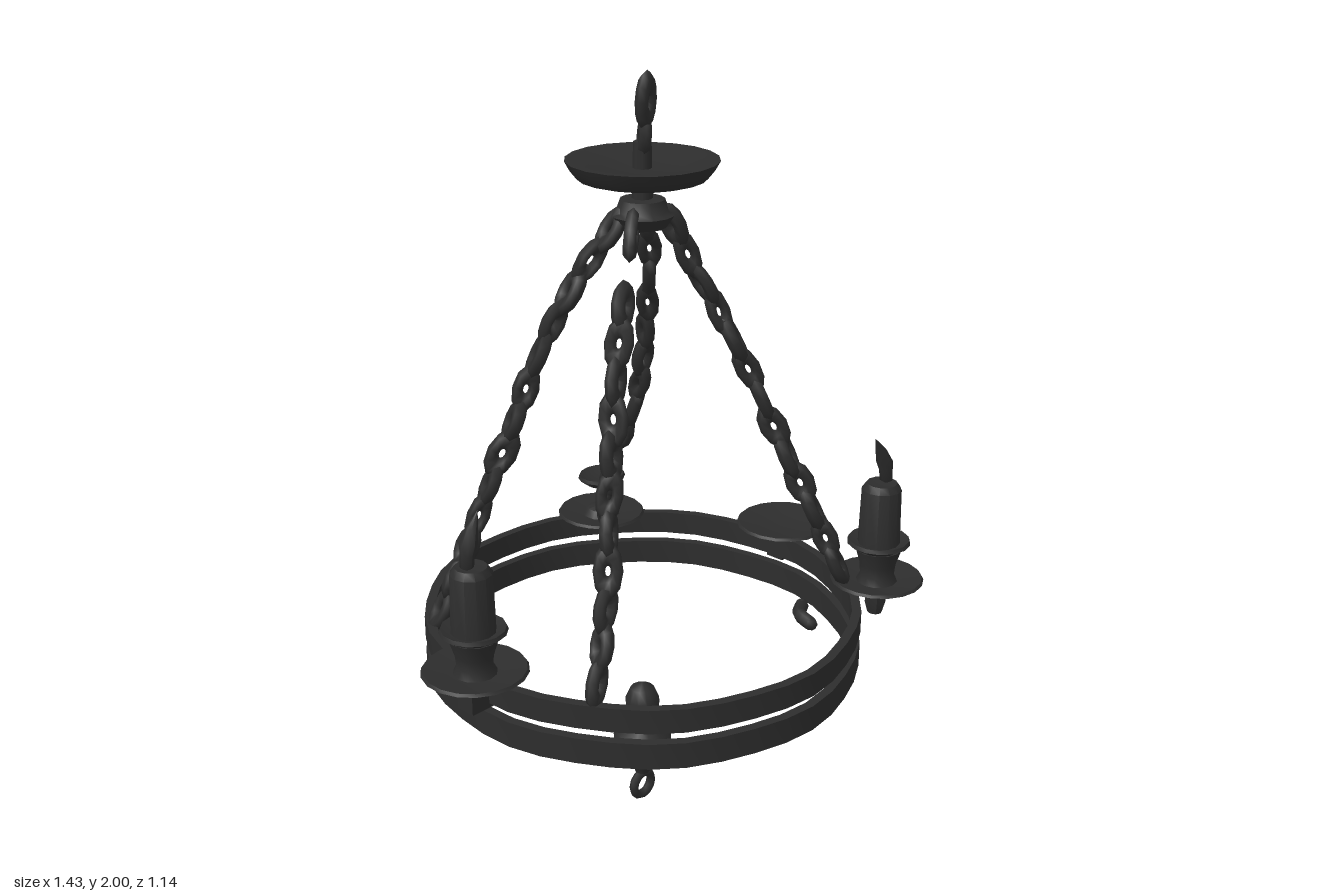
import * as THREE from 'three';
import { toCreasedNormals } from 'three/addons/utils/BufferGeometryUtils.js';

const iron = new THREE.MeshStandardMaterial({ color: 0x2d2d2d });
iron.name = 'dark iron';

export function createModel() {
  const model = new THREE.Group();
  model.name = 'chandelier';

  // Small seeded generator for the hand-forged irregularity
  let seed = 7;
  const rand = () => (seed = (seed * 16807) % 2147483647) / 2147483647;

  function add(parent, name, geometry, x = 0, y = 0, z = 0) {
    const mesh = new THREE.Mesh(geometry, iron);
    mesh.name = name;
    mesh.position.set(x, y, z);
    parent.add(mesh);
    return mesh;
  }
  // Profile of [radius, height] pairs, listed from the bottom up the outside
  function lathe(profile, segments = 14) {
    const points = profile.map(([r, y]) => new THREE.Vector2(r, y));
    return toCreasedNormals(new THREE.LatheGeometry(points, segments), 0.75);
  }

  // Two flat hoops, hammered slightly out of round
  for (const [name, y0, y1] of [['lowerHoop', 0.46, 0.528], ['upperHoop', 0.557, 0.62]]) {
    const hoop = new THREE.LatheGeometry([[0.548, y0], [0.572, y0], [0.572, y1], [0.548, y1], [0.548, y0]]
      .map(([r, y]) => new THREE.Vector2(r, y)), 40);
    const pos = hoop.attributes.position;
    for (let i = 0; i < pos.count; i++) {
      const a = Math.atan2(pos.getZ(i), pos.getX(i));
      const k = 1 + 0.006 * Math.sin(a * 9) - 0.008 * Math.cos(a) ** 2;
      pos.setX(i, pos.getX(i) * k);
      pos.setZ(i, pos.getZ(i) * k);
    }
    add(model, name, toCreasedNormals(hoop, 0.75));
  }

  // Ceiling canopy, stem and chain collar
  add(model, 'canopy', lathe([[0, 1.735], [0.13, 1.737], [0.158, 1.745], [0.174, 1.765], [0.187, 1.788],
    [0.168, 1.788], [0.1, 1.772], [0, 1.765]], 20));
  add(model, 'stem', new THREE.CylinderGeometry(0.022, 0.026, 0.16, 8), 0, 1.75, 0);
  add(model, 'collar', lathe([[0, 1.63], [0.06, 1.625], [0.08, 1.655], [0.065, 1.665], [0.055, 1.692], [0, 1.695]]));

  // Hanging links above the canopy
  const topLink = add(model, 'topLink', new THREE.TorusGeometry(0.02, 0.015, 6, 12), -0.003, 1.928, 0.014);
  topLink.scale.set(1, 2.05, 1.1);
  topLink.rotation.set(0.06, 0.25, 0);
  const lowLink = add(model, 'lowerTopLink', new THREE.TorusGeometry(0.014, 0.014, 6, 12), 0, 1.84, 0.006);
  lowLink.scale.set(1.1, 1.7, 1.2);
  lowLink.rotation.set(0.1, 0.9, 0);

  // Four chains of alternating, uneven links; skipped links leave a break
  const up = new THREE.Vector3(0, 1, 0);
  function chain(name, points, skip = []) {
    const group = new THREE.Group();
    group.name = name;
    const curve = new THREE.CatmullRomCurve3(points.map((p) => new THREE.Vector3(...p)));
    const count = Math.round(curve.getLength() / 0.088);
    for (let i = 0; i < count; i++) {
      if (skip.includes(i)) continue;
      const t = (i + 0.5) / count;
      const p = curve.getPointAt(t);
      const tangent = curve.getTangentAt(t);
      const link = add(group, 'link', new THREE.TorusGeometry(0.021, 0.0145, 6, 10), p.x, p.y, p.z);
      link.scale.set(0.85 + rand() * 0.25, 1.75 + rand() * 0.25, 1.1 + rand() * 0.2);
      link.quaternion.setFromUnitVectors(up, tangent);
      link.rotateY((i % 2) * Math.PI / 2 + 0.4 + rand() * 0.7);
      link.rotateZ((rand() - 0.5) * 0.35);
    }
    model.add(group);
  }
  for (const [name, s, skip] of [['frontLeftSideChain', 1, [1]], ['backLeftSideChain', -1, []]]) {
    chain(name, [[-0.05, 1.66, 0.02 * s], [-0.13, 1.53, 0.07 * s], [-0.21, 1.37, 0.12 * s],
      [-0.3, 1.1, 0.18 * s], [-0.36, 0.9, 0.23 * s], [-0.41, 0.75, 0.26 * s], [-0.465, 0.62, 0.285 * s]], skip);
  }
  chain('frontChain', [[0.05, 1.66, 0.03], [0.12, 1.5, 0.07], [0.2, 1.3, 0.14], [0.28, 1.05, 0.22],
    [0.34, 0.84, 0.3], [0.39, 0.66, 0.36]]);
  chain('backChain', [[0.05, 1.66, -0.03], [0.11, 1.5, -0.08], [0.17, 1.3, -0.15], [0.215, 1.05, -0.23],
    [0.225, 0.85, -0.33], [0.24, 0.65, -0.37]]);

  // Candle holders: dish, drip pan and candle in varying completeness
  const dish = lathe([[0, 0.612], [0.045, 0.615], [0.1, 0.634], [0.132, 0.645], [0.127, 0.652],
    [0.07, 0.642], [0, 0.636]], 18);
  const pan = lathe([[0, 0.728], [0.05, 0.73], [0.084, 0.752], [0.08, 0.762], [0.05, 0.75], [0, 0.75]], 14);
  const cup = lathe([[0, 0.63], [0.06, 0.63], [0.045, 0.66], [0.048, 0.69], [0.062, 0.735], [0, 0.74]], 12);
  const candle = lathe([[0, 0.73], [0.056, 0.73], [0.052, 0.905], [0.04, 0.922], [0, 0.915]], 12);
  const peg = lathe([[0, 0.54], [0.02, 0.545], [0.028, 0.575], [0.028, 0.62], [0, 0.625]], 8);
  const bracket = new THREE.BoxGeometry(0.07, 0.075, 0.055);

  // Flame: a tapered lathe whose vertices lean further with height
  function flame(lean) {
    const g = new THREE.LatheGeometry([[0, 0], [0.017, 0.01], [0.018, 0.04], [0.022, 0.065], [0.014, 0.105],
      [0, 0.143]].map(([r, y]) => new THREE.Vector2(r, y)), 8);
    const pos = g.attributes.position;
    for (let i = 0; i < pos.count; i++) {
      const k = pos.getY(i) / 0.143;
      pos.setX(i, pos.getX(i) + lean * k * k);
    }
    g.computeVertexNormals();
    return g;
  }

  function holder(name, x, z, { lean = null, size = 1 } = {}) {
    const group = new THREE.Group();
    group.name = name;
    group.position.set(x, 0, z);
    add(group, 'dish', dish).scale.set(size, 1, size);
    if (lean !== null) {
      add(group, 'pan', pan);
      add(group, 'cup', cup);
      add(group, 'candle', candle);
      add(group, 'flame', flame(lean), -lean * 0.3, 0.915, 0);
    }
    model.add(group);
    return group;
  }
  const right = holder('rightCandle', -0.583, 0, { lean: 0.04 });
  const front = holder('frontCandle', 0.48, 0.405, { lean: -0.06, size: 0.94 });
  const empty = holder('emptyDish', 0.583, 0);
  add(front, 'peg', peg);
  for (const [group, s] of [[right, -1], [empty, 1]]) add(group, 'bracket', bracket, s * 0.002, 0.582, 0);

  // Back holder: candle gone, with only a remnant of its pan
  const broken = holder('brokenHolder', 0.28, -0.43, { size: 0.94 });
  add(broken, 'cupStub', lathe([[0, 0.63], [0.06, 0.63], [0.04, 0.66], [0, 0.67]], 10));
  add(broken, 'panRemnant', pan, 0.015, -0.005, -0.012).scale.set(0.85, 1, 0.75);

  // Loose curved fragment beside the front chain
  const arc = new THREE.CatmullRomCurve3([[0.2, 0.615, 0.405], [0.205, 0.625, 0.365], [0.25, 0.625, 0.335]]
    .map((p) => new THREE.Vector3(...p)));
  add(model, 'fragment', new THREE.TubeGeometry(arc, 8, 0.018, 6));
  for (const end of [0, 1]) {
    add(model, 'fragmentEnd', new THREE.SphereGeometry(0.018, 6, 4)).position.copy(arc.getPoint(end));
  }

  // Hanging finial with its ring
  add(model, 'finial', lathe([[0, 0.085], [0.02, 0.088], [0.025, 0.105], [0.04, 0.13], [0.07, 0.165], [0.081, 0.195],
    [0.07, 0.215], [0.042, 0.24], [0.03, 0.265], [0.046, 0.295], [0.047, 0.315], [0.032, 0.35], [0, 0.368]], 12));
  add(model, 'finialRing', new THREE.TorusGeometry(0.034, 0.0125, 6, 12), 0, 0.0465, 0);

  return model;
}
